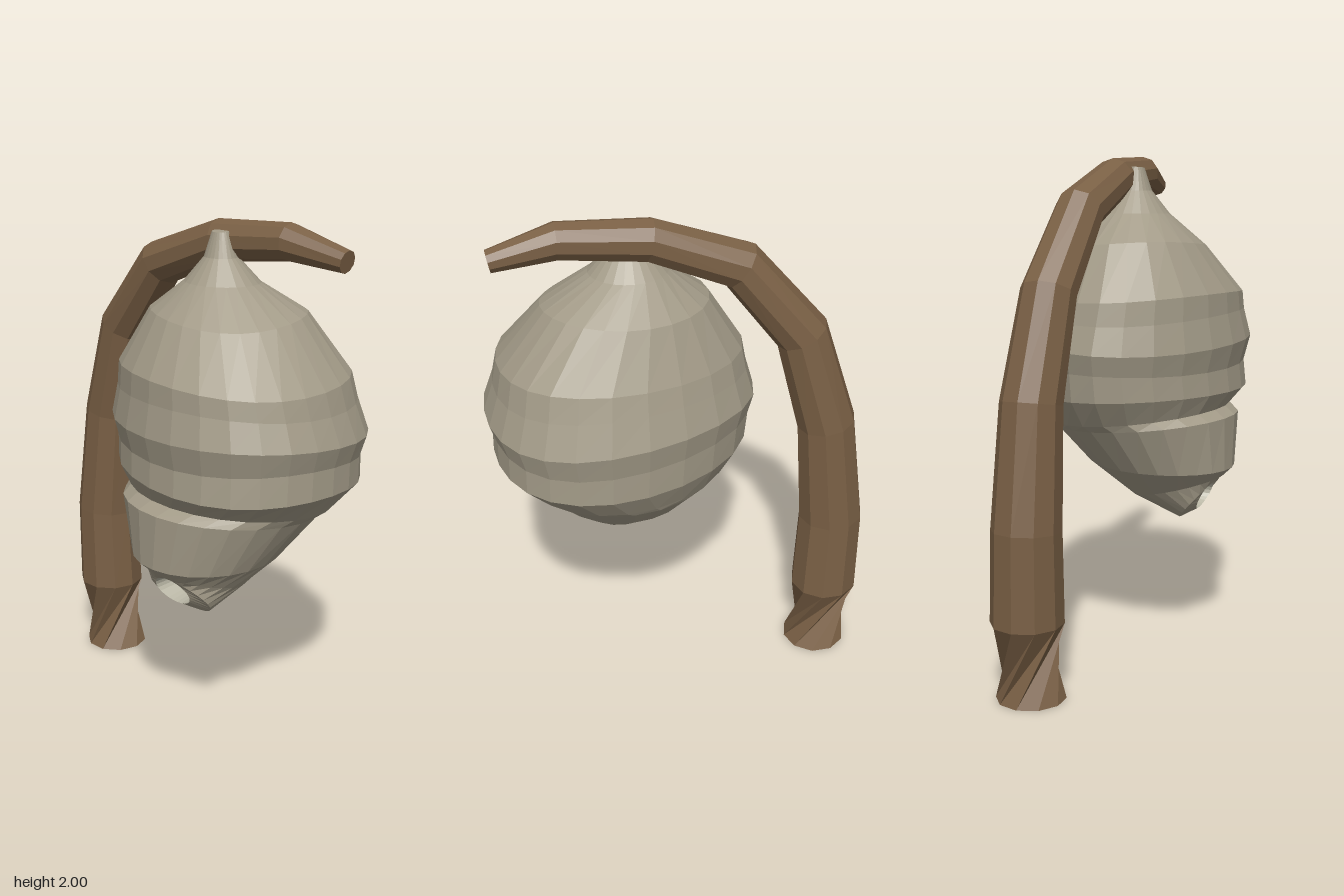
import * as THREE from 'three';

const bark = new THREE.MeshStandardMaterial({ color: 0x7a6045, flatShading: true });
bark.name = 'bark brown';
const paper = new THREE.MeshStandardMaterial({ color: 0xa39b88, flatShading: true });
paper.name = 'paper grey';
const pale = new THREE.MeshStandardMaterial({ color: 0xb8b5a4, flatShading: true });
pale.name = 'pale lining';

// Skin a list of closed rings (arrays of Vector3), with optional end caps
function loft(name, rings, material, capStart, capEnd) {
  const n = rings[0].length;
  const points = rings.flat();
  const index = [];
  for (let i = 0; i < rings.length - 1; i++) {
    for (let j = 0; j < n; j++) {
      const k = (j + 1) % n;
      const a = i * n + j, b = i * n + k, c = a + n, d = b + n;
      index.push(a, c, b, b, c, d);
    }
  }
  const cap = (start, flip) => {
    const centre = new THREE.Vector3();
    for (let j = 0; j < n; j++) centre.addScaledVector(points[start + j], 1 / n);
    const c = points.push(centre) - 1;
    for (let j = 0; j < n; j++) {
      const a = start + j, b = start + (j + 1) % n;
      index.push(c, flip ? b : a, flip ? a : b);
    }
  };
  if (capStart) cap(0, false);
  if (capEnd) cap((rings.length - 1) * n, true);
  const geometry = new THREE.BufferGeometry().setFromPoints(points);
  geometry.setIndex(index);
  geometry.computeVertexNormals();
  const mesh = new THREE.Mesh(geometry, material);
  mesh.name = name;
  return mesh;
}

// Branch stations: x, y, z, radius
const branchPath = [
  [-0.585, 0, -0.13, 0.132],
  [-0.612, 0.3, -0.13, 0.138],
  [-0.62, 0.65, -0.125, 0.131],
  [-0.572, 1.105, -0.122, 0.116],
  [-0.458, 1.495, -0.1, 0.104],
  [-0.218, 1.785, -0.075, 0.093],
  [0.115, 1.907, -0.062, 0.08],
  [0.445, 1.932, -0.06, 0.069],
  [0.683, 1.885, -0.078, 0.042],
];

function branchRings() {
  const sides = 10;
  return branchPath.map(([x, y, z, r], i) => {
    const p = branchPath[Math.max(i - 1, 0)];
    const q = branchPath[Math.min(i + 1, branchPath.length - 1)];
    const t = new THREE.Vector2(q[0] - p[0], q[1] - p[1]).normalize();
    if (i < 2) t.set(0, 1);
    const twist = i === 0 ? 0.4 * Math.PI : 0; // wrung foot of the branch
    return Array.from({ length: sides }, (_, j) => {
      const a = (j / sides) * Math.PI * 2 + twist;
      const c = Math.cos(a) * r;
      return new THREE.Vector3(x + c * t.y, y - c * t.x, z + Math.sin(a) * r);
    });
  });
}

// Nest rings from the top: xRight, xLeft, front z, front y, back z, back y, egg skew, waviness
const nestProfile = [
  [0.14, 0.21, 0.04, 1.95, -0.015, 1.955, 0, 0],
  [0.11, 0.245, 0.07, 1.86, -0.05, 1.86, 0, 0],
  [0.03, 0.33, 0.14, 1.77, -0.13, 1.77, 0, 0],
  [-0.12, 0.51, 0.27, 1.65, -0.26, 1.66, 0.12, 0.012],
  [-0.255, 0.685, 0.4, 1.45, -0.365, 1.45, 0.2, 0.012],
  [-0.27, 0.705, 0.405, 1.37, -0.39, 1.36, 0.2, 0.012],
  [-0.3, 0.745, 0.43, 1.26, -0.43, 1.24, 0.2, 0.012],
  [-0.278, 0.72, 0.405, 1.17, -0.41, 1.15, 0.2, 0.012],
  [-0.268, 0.722, 0.415, 1.07, -0.41, 1.04, 0.2, 0.008],
  [-0.2, 0.64, 0.365, 0.995, -0.345, 0.93, 0.1, 0],
  [-0.18, 0.61, 0.412, 0.965, -0.33, 0.91, 0.05, 0],
  [-0.075, 0.5, 0.41, 0.75, -0.19, 0.77, 0, 0],
  [0.03, 0.41, 0.37, 0.712, 0.0, 0.62, 0, 0],
  [0.08, 0.365, 0.345, 0.695, 0.2, 0.53, 0, 0],
  [0.12, 0.295, 0.325, 0.682, 0.275, 0.573, 0, 0],
];
// Recess behind the entrance
const liningProfile = [
  nestProfile[nestProfile.length - 1],
  [0.13, 0.285, 0.24, 0.68, 0.2, 0.585, 0, 0],
];

function nestRings(profile) {
  const sides = 24;
  return profile.map(([x0, x1, zf, yf, zb, yb, egg, wave], i) =>
    Array.from({ length: sides }, (_, j) => {
      const a = (j / sides) * Math.PI * 2;
      const s = Math.sin(a), half = (x1 - x0) / 2;
      return new THREE.Vector3(
        (x0 + x1) / 2 + half * (Math.cos(a) + egg * s * s),
        (yf + yb) / 2 + (s * (yf - yb)) / 2 + wave * Math.sin(2 * a + i),
        (zf + zb) / 2 + (s * (zf - zb)) / 2
      );
    })
  ).reverse();
}

export function createModel() {
  const model = new THREE.Group();
  model.name = 'hangingNest';
  model.add(
    loft('branch', branchRings(), bark, true, true),
    loft('nestShell', nestRings(nestProfile), paper, false, true),
    loft('entranceLining', nestRings(liningProfile), pale, true, false)
  );
  return model;
}
